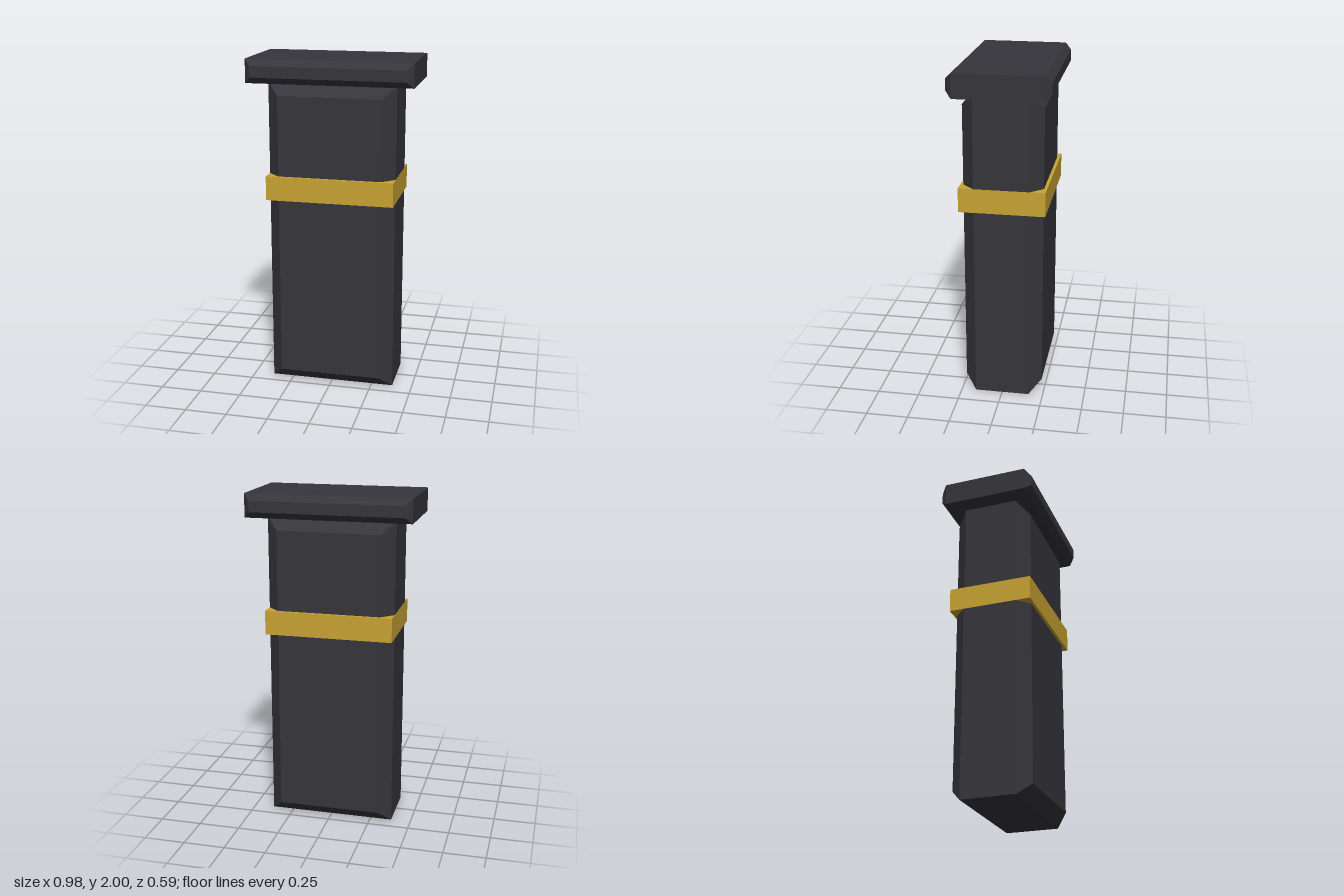
import * as THREE from 'three';

const dark = new THREE.MeshStandardMaterial({ color: 0x36353b });
dark.name = 'charcoal';
const gold = new THREE.MeshStandardMaterial({ color: 0xc8a333 });
gold.name = 'gold';

// Block whose front and back faces have chamfered edges; stands on y = 0
function chamferedBlock(width, height, depth, chamfer) {
  const w = width / 2 - chamfer;
  const shape = new THREE.Shape();
  shape.moveTo(-w, chamfer);
  shape.lineTo(w, chamfer);
  shape.lineTo(w, height - chamfer);
  shape.lineTo(-w, height - chamfer);
  shape.closePath();
  const core = depth - 2 * chamfer;
  const geometry = new THREE.ExtrudeGeometry(shape, {
    depth: core,
    bevelEnabled: true,
    bevelThickness: chamfer,
    bevelSize: chamfer,
    bevelSegments: 1,
  });
  return geometry.translate(0, 0, -core / 2);
}

function addPart(group, name, geometry, material, y) {
  const mesh = new THREE.Mesh(geometry, material);
  mesh.name = name;
  mesh.position.y = y;
  group.add(mesh);
}

export function createModel() {
  const model = new THREE.Group();
  model.name = 'bandedPillar';

  // Tall body
  addPart(model, 'body', chamferedBlock(0.76, 1.86, 0.47, 0.072), dark, 0);
  // Overhanging cap
  addPart(model, 'cap', chamferedBlock(0.98, 0.14, 0.586, 0.037), dark, 1.86);
  // Square-edged band, a hair proud of the body sides
  addPart(model, 'band', new THREE.BoxGeometry(0.762, 0.144, 0.506), gold, 1.24);

  return model;
}
